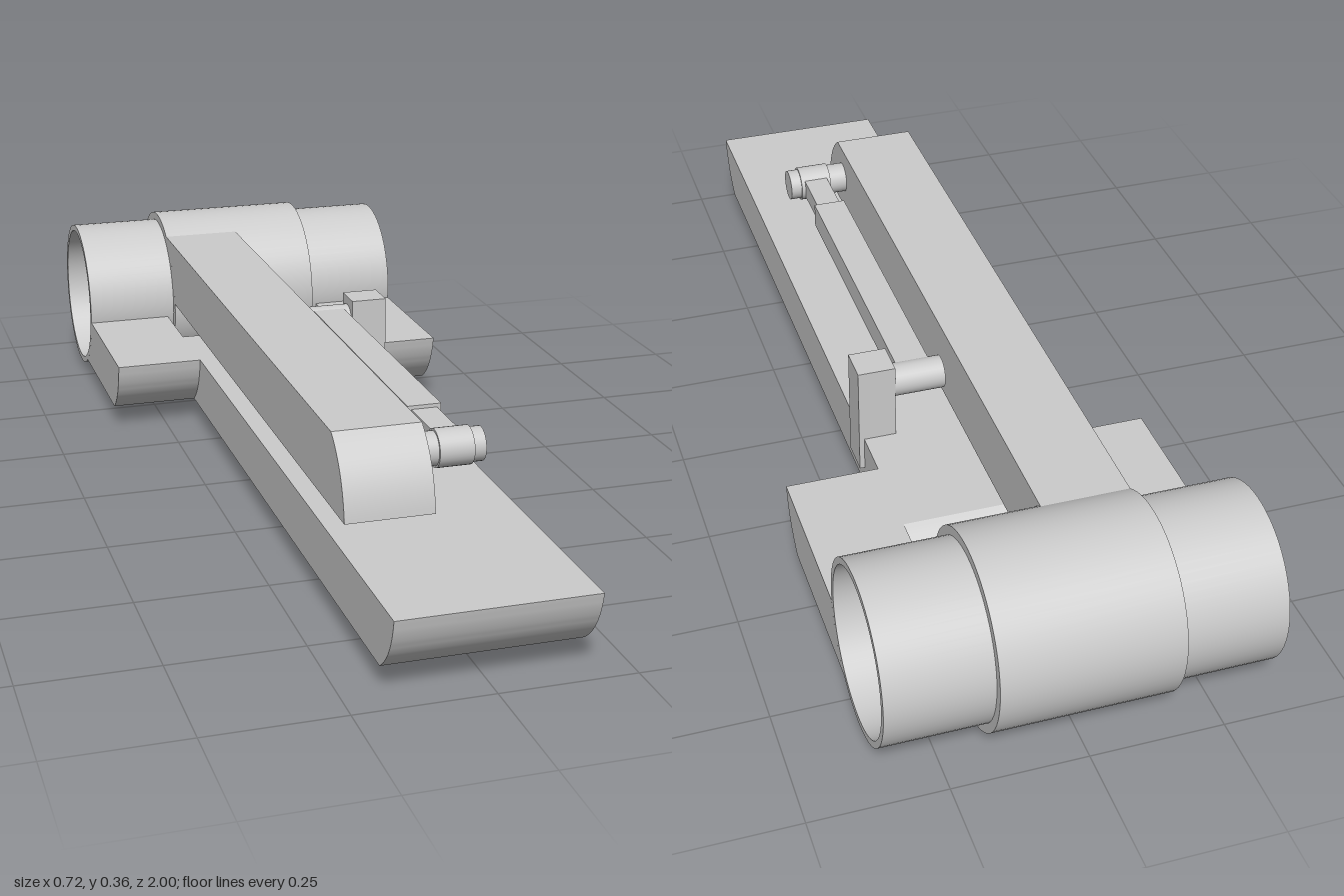
import * as THREE from 'three';
import { toCreasedNormals } from 'three/addons/utils/BufferGeometryUtils.js';

const AXIS = { y: 0.183, z: -0.82 }; // hinge centre line
const TUBE_R = 0.163, SLEEVE_R = 0.18;

export function createModel() {
  const model = new THREE.Group();
  const material = new THREE.MeshStandardMaterial({ color: 0xcccccc });

  function add(name, geometry, x = 0, y = 0, z = 0) {
    const mesh = new THREE.Mesh(geometry, material);
    mesh.name = name;
    mesh.position.set(x, y, z);
    model.add(mesh);
    return mesh;
  }

  // Side profile drawn in (z, y), extruded from x0 to x1
  function addProfile(name, shape, x0, x1) {
    const geo = new THREE.ExtrudeGeometry(shape, { depth: x1 - x0, bevelEnabled: false, curveSegments: 16 });
    geo.rotateY(-Math.PI / 2);
    add(name, toCreasedNormals(geo, 0.5), x1);
  }

  // Hollow ring along x
  function addRing(name, inner, outer, half) {
    const pts = [[inner, -half], [outer, -half], [outer, half], [inner, half], [inner, -half]]
      .map(([r, h]) => new THREE.Vector2(r, h));
    const geo = new THREE.LatheGeometry(pts, 64);
    geo.rotateZ(-Math.PI / 2);
    add(name, toCreasedNormals(geo, 0.5), 0, AXIS.y, AXIS.z);
  }

  // Solid pin along x
  function addPin(name, r, x0, x1, y, z) {
    const geo = new THREE.CylinderGeometry(r, r, x1 - x0, 32);
    geo.rotateZ(-Math.PI / 2);
    add(name, geo, (x0 + x1) / 2, y, z);
  }

  function addBox(name, x0, x1, y0, y1, z0, z1) {
    add(name, new THREE.BoxGeometry(x1 - x0, y1 - y0, z1 - z0), (x0 + x1) / 2, (y0 + y1) / 2, (z0 + z1) / 2);
  }

  // Edge that follows the hinge surface from one height to another
  function hingeEdge(shape, radius, yFrom, yTo) {
    const a0 = Math.asin((yFrom - AXIS.y) / radius), a1 = Math.asin((yTo - AXIS.y) / radius);
    shape.absarc(AXIS.z, AXIS.y, radius, a0, a1, a1 < a0);
  }

  // Hinge
  addRing('hingeTube', 0.15, TUBE_R, 0.36);
  addRing('hingeSleeve', 0.16, SLEEVE_R, 0.166);

  // Lower arm: rounded underneath at the front, rounded on top at the notch
  const low = 0.045, high = 0.158;
  const plate = new THREE.Shape();
  plate.moveTo(-0.57, low);
  plate.lineTo(0.93, low);
  plate.quadraticCurveTo(0.988, 0.085, 1, high);
  plate.lineTo(-0.5, high);
  plate.quadraticCurveTo(-0.56, 0.125, -0.57, low);
  addProfile('lowerArm', plate, -0.18, 0.18);

  // Fork cheeks joining the lower arm to the tube ends
  const cheek = new THREE.Shape();
  cheek.moveTo(-0.4, low);
  cheek.quadraticCurveTo(-0.342, 0.085, -0.33, high);
  hingeEdge(cheek, TUBE_R, high, low);
  cheek.closePath();
  addProfile('forkLeft', cheek, 0.18, 0.36);
  addProfile('forkRight', cheek, -0.36, -0.18);

  // Upper arm, rounded over at the front
  const arm = new THREE.Shape();
  arm.moveTo(0.69, 0.192);
  arm.quadraticCurveTo(0.68, 0.285, 0.61, 0.333);
  hingeEdge(arm, SLEEVE_R, 0.333, 0.192);
  arm.closePath();
  addProfile('upperArm', arm, -0.166, 0);

  // Damper between the upper arm and the bracket on the lower arm
  const rodY = 0.265;
  addPin('frontPin', 0.032, 0, 0.126, rodY, 0.57);
  addPin('frontEye', 0.036, 0.037, 0.103, rodY, 0.57);
  addBox('damperRod', 0.045, 0.095, 0.247, 0.286, 0.42, 0.57);
  addBox('damperBody', 0.037, 0.103, 0.242, 0.293, -0.2, 0.425);
  addPin('rearPin', 0.032, 0.015, 0.12, rodY, -0.203);
  addBox('bracket', 0.116, 0.19, 0.088, 0.314, -0.235, -0.165);

  return model;
}
